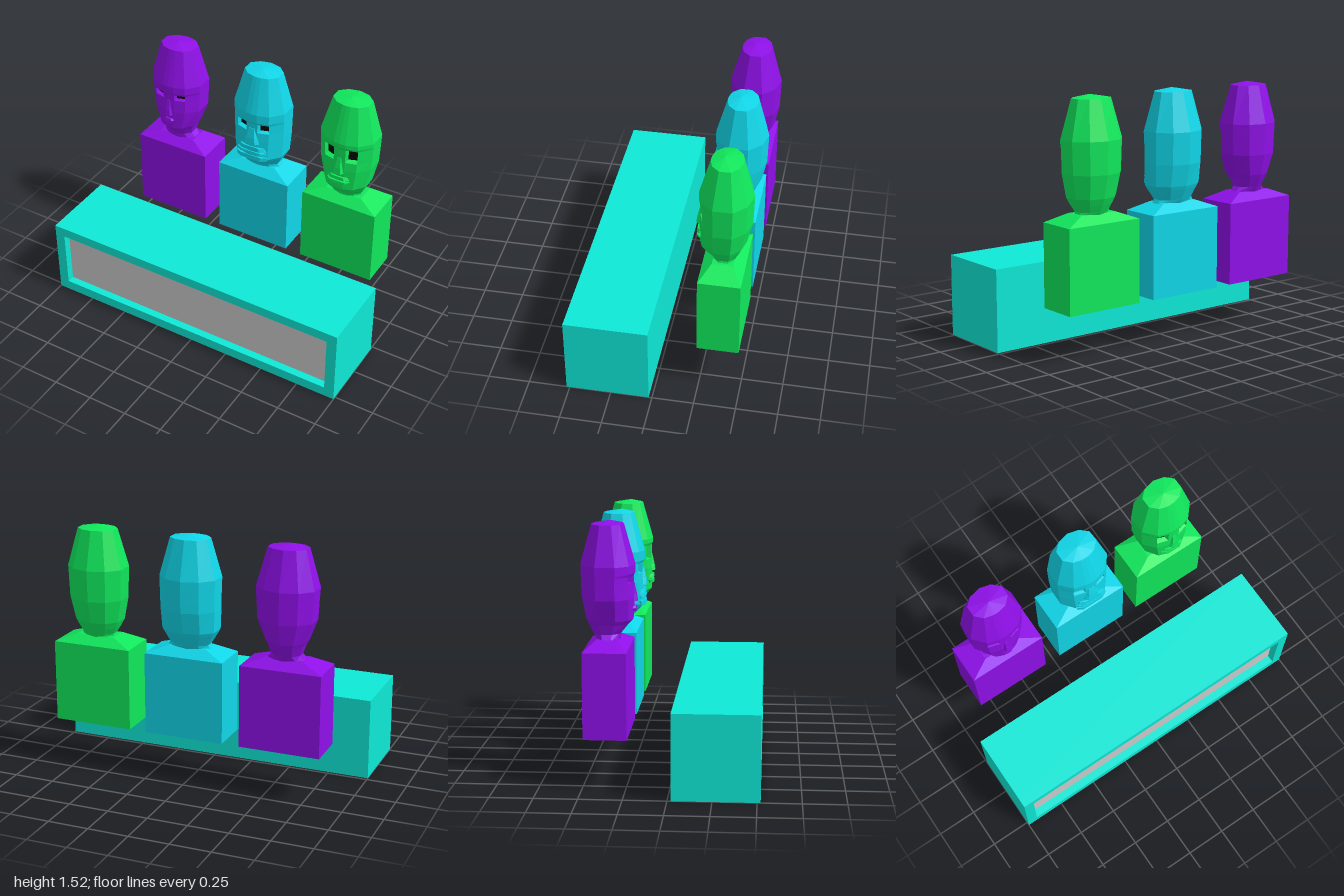
import * as THREE from 'three';

const material = (color) => new THREE.MeshStandardMaterial({ color, flatShading: true });
const BLACK = material(0x050505);

function meshOf(name, positions, mat) {
  const geo = new THREE.BufferGeometry();
  geo.setAttribute('position', new THREE.Float32BufferAttribute(positions, 3));
  geo.computeVertexNormals();
  const mesh = new THREE.Mesh(geo, mat);
  mesh.name = name;
  return mesh;
}

const quad = (out, a, b, c, d) => out.push(...a, ...b, ...c, ...a, ...c, ...d);

// Closed skin over rings listed bottom to top; each ring runs from the front towards +x
function loft(rings, crown = 0, skip = () => false) {
  const out = [], n = rings[0].length;
  for (let i = 0; i < rings.length - 1; i++) {
    for (let j = 0; j < n; j++) {
      const k = (j + 1) % n;
      if (!skip(i, j)) quad(out, rings[i][j], rings[i][k], rings[i + 1][k], rings[i + 1][j]);
    }
  }
  const cap = (ring, lift, up) => {
    const c = [0, 1, 2].map((q) => ring.reduce((s, p) => s + p[q], 0) / n);
    c[1] += lift;
    ring.forEach((p, j) => {
      const next = ring[(j + 1) % n];
      out.push(...c, ...(up ? p : next), ...(up ? next : p));
    });
  };
  cap(rings[0], 0, false);
  cap(rings[rings.length - 1], crown, true);
  return out;
}

// Right half of the head's cross-section, mirrored to the left
const HALF = [[0.22, 0.98], [0.63, 0.84], [1, 0.36], [1, -0.36], [0.6, -0.82]];
const SECTION = [[0, 1], ...HALF, [0, -1], ...HALF.map(([x, z]) => [-x, z]).reverse()];
const EYE_COLUMNS = [1, 10];

// Skull rows [height, half width, front depth, back depth]: jaw, cheek, eyes, brow, temple, crown
function skullRows(jaw, cheek, [eyeBottom, eyeTop]) {
  const back = (y) => 0.07 + 0.083 * Math.sin(Math.PI / 2 * (y - 0.84) / 0.24);
  const face = (y, front) => {
    const t = (y - 1.08) / 0.19;
    return [y, THREE.MathUtils.lerp(cheek, 0.175, t), front, 0.153 + 0.005 * t];
  };
  return [
    ...jaw.map(([y, w, front]) => [y, w, front, back(y)]),
    face(1.08, 0.151), face(eyeBottom, 0.147), face(eyeTop, 0.147),
    face(eyeTop + 0.015, 0.156), face(1.27, 0.156), [1.5, 0.115, 0.092, 0.093],
  ];
}

function makeHead({ jaw, cheek, eyes, eyeInset }, mat) {
  const head = new THREE.Group();
  head.name = 'head';
  const rings = skullRows(jaw, cheek, eyes).map(([y, rx, zf, zb]) =>
    SECTION.map(([x, z]) => [x * rx, y, z * (z > 0 ? zf : zb)]));
  const eyeRow = jaw.length + 1;
  const isEye = (i, j) => i === eyeRow && EYE_COLUMNS.includes(j);
  head.add(meshOf('skull', loft(rings, 0.02, isEye), mat));

  // Sunken eye sockets with dark eyes at the back
  const walls = [], pupils = [];
  for (const j of EYE_COLUMNS) {
    const outer = [rings[eyeRow][j], rings[eyeRow][j + 1],
      rings[eyeRow + 1][j + 1], rings[eyeRow + 1][j]];
    const mid = [0, 1].map((q) => outer.reduce((s, p) => s + p[q], 0) / 4);
    const inner = outer.map((p) => [
      p[0] + (mid[0] - p[0]) * eyeInset, p[1] + (mid[1] - p[1]) * eyeInset, p[2] - 0.03]);
    for (let k = 0; k < 4; k++) {
      const m = (k + 1) % 4;
      quad(walls, outer[k], outer[m], inner[m], inner[k]);
    }
    quad(pupils, ...inner);
  }
  head.add(meshOf('eyeSockets', walls, mat), meshOf('eyes', pupils, BLACK));
  return head;
}

// Facial block with bevelled sides, from bottom y0 to top y1
function makeFeature(name, y0, y1, w0, w1, z0, z1, mat) {
  const ring = (y, w, z) => [[-0.33 * w, y, z], [0.33 * w, y, z], [0.5 * w, y, z - 0.018],
    [0.5 * w, y, 0.08], [-0.5 * w, y, 0.08], [-0.5 * w, y, z - 0.018]];
  return meshOf(name, loft([ring(y0, w0, z0), ring(y1, w1, z1)]), mat);
}

// Square torso with sloping shoulders
function makeBody(mat) {
  const levels = [[0.3, 0.247, 0.125], [0.8, 0.247, 0.125], [0.848, 0.12, 0.062]];
  const rings = levels.map(([y, x, z]) => [[-x, y, z], [x, y, z], [x, y, -z], [-x, y, -z]]);
  return meshOf('body', loft(rings), mat);
}

// jaw: [height, half width, front depth]; nose: [base, bridge] widths; lips: [y0, y1, w0, w1]
const FIGURES = [
  {
    name: 'rightEndFigure', x: -0.603, color: 0x8f10e8, cheek: 0.165,
    jaw: [[0.84, 0.12, 0.07], [0.875, 0.088, 0.075], [0.93, 0.105, 0.12], [0.955, 0.118, 0.145]],
    eyes: [1.17, 1.208], eyeInset: 0.12, nose: [0.055, 0.04],
    lips: [[1.003, 1.018, 0.05, 0.07], [1.02, 1.033, 0.07, 0.05]],
  },
  {
    name: 'middleFigure', x: -0.002, color: 0x10d6e8, cheek: 0.171,
    jaw: [[0.84, 0.135, 0.07], [0.865, 0.12, 0.08], [0.93, 0.155, 0.145], [0.95, 0.165, 0.158]],
    eyes: [1.138, 1.198], eyeInset: 0.16, nose: [0.105, 0.08],
    lips: [[0.942, 0.97, 0.2, 0.21], [0.985, 1, 0.2, 0.2], [1.01, 1.035, 0.19, 0.16]],
  },
  {
    name: 'leftEndFigure', x: 0.597, color: 0x10e85c, cheek: 0.168,
    jaw: [[0.84, 0.105, 0.07], [0.86, 0.1, 0.075], [0.9, 0.122, 0.115], [0.94, 0.14, 0.148]],
    eyes: [1.138, 1.228], eyeInset: 0.22, nose: [0.07, 0.05],
    lips: [[0.982, 1.002, 0.13, 0.15], [1.015, 1.035, 0.14, 0.11]],
  },
];

function makeFigure(spec) {
  const mat = material(spec.color);
  const figure = new THREE.Group();
  figure.name = spec.name;
  figure.position.set(spec.x, 0, -0.363);
  const [base, bridge] = spec.nose;
  figure.add(
    makeBody(mat), makeHead(spec, mat),
    makeFeature('nose', 1.06, 1.1, base, bridge, 0.169, 0.164, mat),
    makeFeature('noseBridge', 1.1, 1.165, bridge, 0.65 * bridge, 0.164, 0.15, mat),
    ...spec.lips.map((lip) => makeFeature('lip', ...lip, 0.162, 0.16, mat)));
  return figure;
}

// Long counter with a framed, recessed front panel
function makeDesk() {
  const desk = new THREE.Group();
  desk.name = 'desk';
  const mat = material(0x0ee8d6);
  const depth = 0.05;

  const core = new THREE.Mesh(new THREE.BoxGeometry(2, 0.5, 0.5 - depth), mat);
  core.name = 'deskCore';
  core.position.set(0, 0.25, 0.245);

  const rect = (path, x, y0, y1) =>
    path.moveTo(-x, y0).lineTo(x, y0).lineTo(x, y1).lineTo(-x, y1).closePath();
  const shape = rect(new THREE.Shape(), 1, 0, 0.5);
  shape.holes.push(rect(new THREE.Path(), 0.935, 0.065, 0.438));
  const frame = new THREE.Mesh(
    new THREE.ExtrudeGeometry(shape, { depth, bevelEnabled: false }), mat);
  frame.name = 'deskFrame';
  frame.position.z = 0.47;

  const panel = new THREE.Mesh(new THREE.PlaneGeometry(1.87, 0.373), material(0xcccccc));
  panel.name = 'frontPanel';
  panel.position.set(0, 0.2515, 0.472);

  desk.add(core, frame, panel);
  return desk;
}

export function createModel() {
  const model = new THREE.Group();
  model.name = 'panelDesk';
  model.add(makeDesk(), ...FIGURES.map(makeFigure));
  return model;
}
